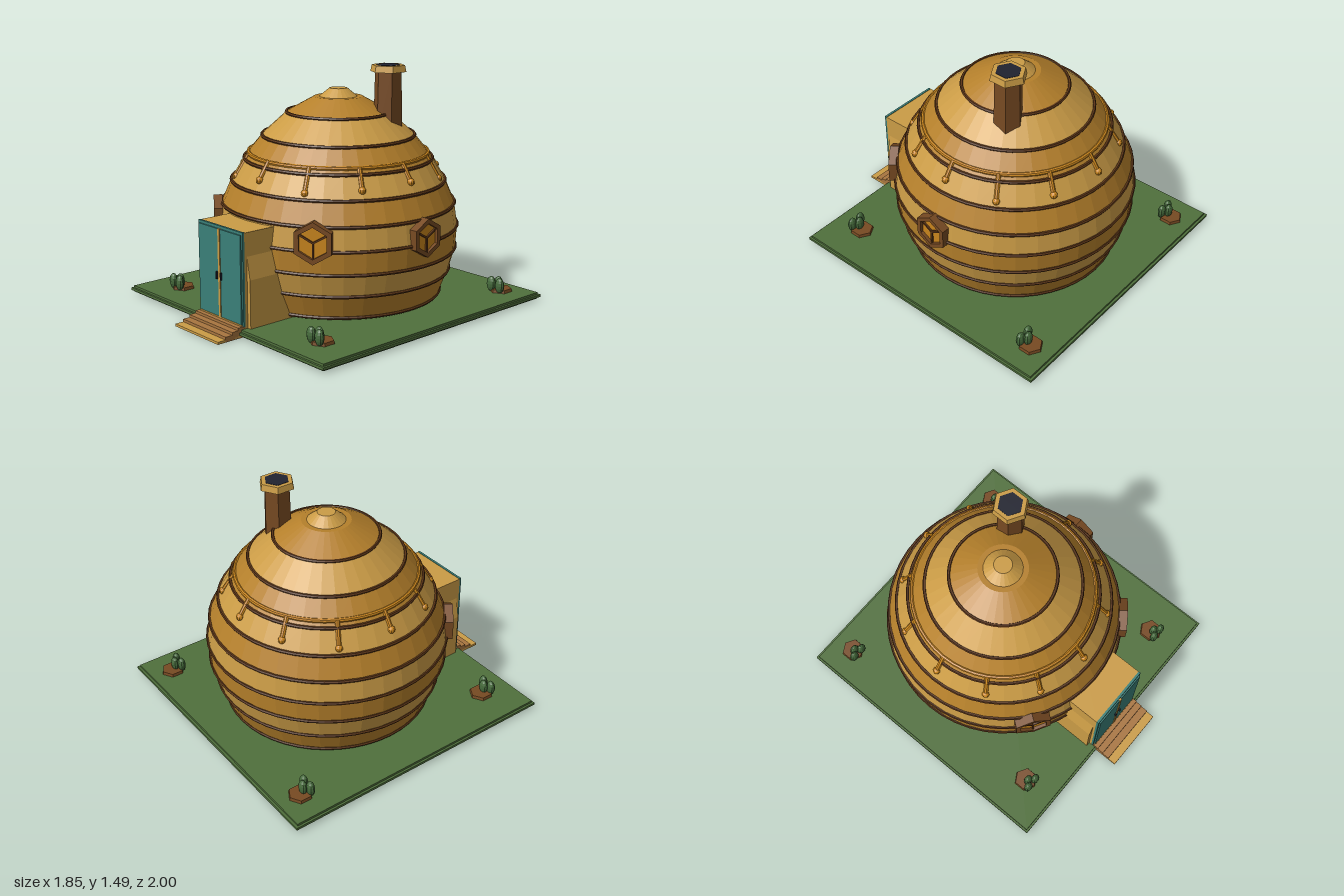
import * as THREE from 'three';

const mat = (name, color, extra = {}) => {
  const m = new THREE.MeshStandardMaterial({ color, flatShading: true, ...extra });
  m.name = name;
  return m;
};

export function createModel() {
  const lightGold = mat('light gold', 0xcb9c46);
  const darkGold = mat('dark gold', 0xb5802b);
  const honey = mat('honey', 0xc9851c);
  const darkBrown = mat('dark brown', 0x5a3416);
  const brown = mat('brown', 0x774a22);
  const tan = mat('step brown', 0xa8753f);
  const teal = mat('teal', 0x3a7f78);
  const navy = mat('dark navy', 0x20222f);
  const grass = mat('grass green', 0x50703c);
  const leaf = mat('leaf green', 0x456a3b);

  const root = new THREE.Group();
  const add = (parent, name, geo, material, x = 0, y = 0, z = 0) => {
    const m = new THREE.Mesh(geo, material);
    m.name = name;
    m.position.set(x, y, z);
    parent.add(m);
    return m;
  };
  const group = (name, x = 0, y = 0, z = 0) => {
    const g = new THREE.Group();
    g.name = name;
    g.position.set(x, y, z);
    root.add(g);
    return g;
  };
  // Box given by its limits
  const box = (parent, name, material, x0, x1, y0, y1, z0, z1) =>
    add(parent, name, new THREE.BoxGeometry(x1 - x0, y1 - y0, z1 - z0), material,
      (x0 + x1) / 2, (y0 + y1) / 2, (z0 + z1) / 2);

  // Lawn slab with a thin lip
  box(root, 'lawn', grass, -0.912, 0.912, 0.008, 0.048, -0.985, 0.832);
  box(root, 'lawnLip', grass, -0.925, 0.925, 0.018, 0.034, -1, 0.845);

  // Banded dome: [height, radius] at each seam
  const seams = [[0.07, 0.645], [0.215, 0.7], [0.355, 0.738], [0.495, 0.746], [0.635, 0.726],
    [0.775, 0.666], [0.91, 0.585], [1.05, 0.473], [1.19, 0.32], [1.285, 0.15]];
  const dome = group('dome', 0, 0, -0.11);
  add(dome, 'plinth', new THREE.CylinderGeometry(0.43, 0.43, 0.03, 36), lightGold, 0, 0.06, 0);
  for (let i = 0; i < seams.length - 1; i++) {
    const [y0, r0] = seams[i], [y1, r1] = seams[i + 1];
    add(dome, 'band', new THREE.CylinderGeometry(r1, r0, y1 - y0, 36), i % 2 ? lightGold : darkGold,
      0, (y0 + y1) / 2, 0);
    const ring = add(dome, 'seamRing', new THREE.TorusGeometry(r0, 0.011, 6, 48), darkBrown, 0, y0, 0);
    ring.rotation.x = Math.PI / 2;
  }
  add(dome, 'crown', new THREE.CylinderGeometry(0.055, 0.122, 0.055, 24), lightGold, 0, 1.3085, 0);

  // Honey ring with drips running down the dome
  const honeyRing = add(dome, 'honeyRing', new THREE.TorusGeometry(0.556, 0.014, 8, 48), honey, 0, 0.943, 0);
  honeyRing.rotation.x = Math.PI / 2;
  const tips = [0.845, 0.808, 0.828];
  for (let i = 0; i < 12; i++) {
    const a = (i * Math.PI) / 6;
    const at = (r, y) => new THREE.Vector3(Math.sin(a) * r, y, Math.cos(a) * r);
    const tipY = tips[Math.min(i, 12 - i) % 3];
    const tip = at(0.628 + (0.845 - tipY) * 0.3, tipY);
    const path = new THREE.LineCurve3(at(0.558, 0.945), tip);
    add(dome, 'drip', new THREE.TubeGeometry(path, 1, 0.015, 8), honey);
    add(dome, 'dripTip', new THREE.SphereGeometry(0.023, 10, 8), honey, tip.x, tip.y, tip.z);
  }

  // Hexagonal windows with a three-armed bar
  const hexPath = (P, r) => {
    const p = new P();
    for (let i = 0; i < 6; i++) {
      const a = Math.PI / 2 + (i * Math.PI) / 3;
      p[i ? 'lineTo' : 'moveTo'](Math.cos(a) * r, Math.sin(a) * r);
    }
    p.closePath();
    return p;
  };
  const addWindow = (angle, y, size) => {
    const w = group('window', Math.sin(angle) * 0.742, y, -0.11 + Math.cos(angle) * 0.742);
    w.rotation.y = angle;
    const frame = hexPath(THREE.Shape, size);
    frame.holes.push(hexPath(THREE.Path, size * 0.75));
    add(w, 'windowFrame', new THREE.ExtrudeGeometry(frame, { depth: 0.055, bevelEnabled: false }), brown, 0, 0, -0.02);
    add(w, 'windowPane', new THREE.ShapeGeometry(hexPath(THREE.Shape, size * 0.77)), honey, 0, 0, 0.015);
    for (const deg of [30, 150, 270]) {
      const a = (deg * Math.PI) / 180, l = size * 0.75;
      const bar = add(w, 'windowBar', new THREE.BoxGeometry(l, 0.011, 0.012), darkBrown,
        Math.cos(a) * l / 2, Math.sin(a) * l / 2, 0.02);
      bar.rotation.z = a;
    }
  };
  addWindow(0.64, 0.552, 0.126);
  addWindow(-0.64, 0.552, 0.126);
  addWindow(Math.PI / 2, 0.535, 0.117);

  // Porch with tapered side cheeks
  const porch = group('porch');
  box(porch, 'porchBody', lightGold, -0.21, 0.21, 0.04, 0.617, 0.3, 0.802);
  const cheek = new THREE.Shape([[0.2, 0.045], [0.236, 0.045], [0.236, 0.34], [0.21, 0.475], [0.2, 0.475]]
    .map(([x, y]) => new THREE.Vector2(x, y)));
  const cheekGeo = new THREE.ExtrudeGeometry(cheek, { depth: 0.38, bevelEnabled: false });
  add(porch, 'cheekLeft', cheekGeo, lightGold, 0, 0, 0.405);
  // turned half round to mirror it
  add(porch, 'cheekRight', cheekGeo, lightGold, 0, 0, 0.785).rotation.y = Math.PI;

  // Double door
  box(porch, 'doorFrame', teal, -0.21, 0.21, 0.06, 0.62, 0.8, 0.815);
  box(porch, 'doorPost', lightGold, -0.009, 0.009, 0.07, 0.605, 0.81, 0.828);
  box(porch, 'doorSill', lightGold, -0.2, 0.2, 0.064, 0.072, 0.81, 0.826);
  for (const s of [-1, 1]) {
    add(porch, 'doorLeaf', new THREE.BoxGeometry(0.188, 0.53, 0.012), teal, s * 0.104, 0.338, 0.818);
    add(porch, 'doorHandle', new THREE.BoxGeometry(0.008, 0.045, 0.012), navy, s * 0.02, 0.323, 0.829);
  }

  // Steps, lowest one in gold
  [[1, 0.015], [0.945, 0.032], [0.897, 0.048], [0.855, 0.064]].forEach(([z, top], i) =>
    box(root, 'step', i ? tan : lightGold, -0.208, 0.208, 0, top, 0.78, z));

  // Hexagonal chimney, open at the top
  const chimney = group('chimney', 0.266, 0, -0.276);
  add(chimney, 'chimneyShaft', new THREE.CylinderGeometry(0.083, 0.091, 0.4, 6), brown, 0, 1.255, 0);
  add(chimney, 'chimneyCap', new THREE.CylinderGeometry(0.104, 0.113, 0.04, 6), lightGold, 0, 1.467, 0);
  add(chimney, 'flue', new THREE.CylinderGeometry(0.077, 0.077, 0.02, 6), navy, 0, 1.479, 0);

  // Hexagonal planters with three shrubs each
  for (const [x, z] of [[0.73, -0.84], [0.665, 0.62]]) {
    for (const s of [-1, 1]) {
      const p = group('planter', s * x, 0.045, z);
      add(p, 'planterBase', new THREE.CylinderGeometry(0.07, 0.075, 0.022, 6), brown, 0, 0.011, 0);
      for (const [dx, dz] of [[-0.034, 0.05], [0.034, 0.05], [0, 0.02]]) {
        add(p, 'shrub', new THREE.SphereGeometry(1, 10, 8), leaf, dx, 0.052, dz).scale.set(0.032, 0.049, 0.024);
      }
    }
  }
  return root;
}
